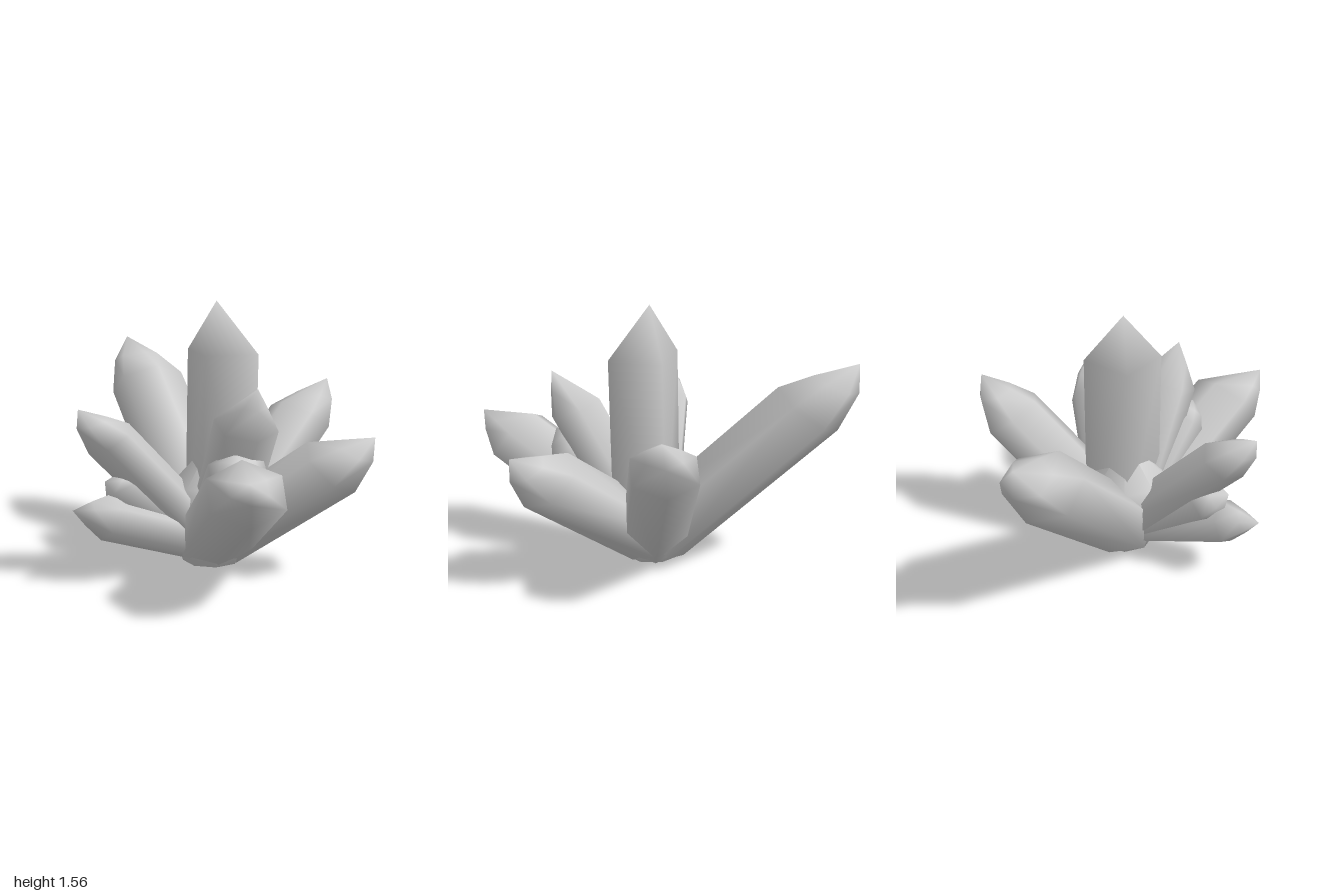
import * as THREE from 'three';
import { mergeVertices } from 'three/addons/utils/BufferGeometryUtils.js';
import { ConvexGeometry } from 'three/addons/geometries/ConvexGeometry.js';

const material = new THREE.MeshStandardMaterial({ color: 0xcccccc });
const origin = new THREE.Vector3(-0.015, 0.16, 0.08); // crystals fan out from here
const worldUp = new THREE.Vector3(0, 1, 0);

// Smooth-shaded convex body around a set of points
function softHull(points) {
  let geo = new ConvexGeometry(points);
  geo.deleteAttribute('normal');
  geo = mergeVertices(geo, 1e-4);
  geo.computeVertexNormals();
  return geo;
}

// A crystal grows from its root to a leaning shoulder ring, then narrows to its tip.
// width stretches it sideways, shear pushes the rings' underside forward,
// blunt is the size of the ring near the tip.
function crystal(name, shoulder, tip, radius, width, shear, blunt, sides = 6) {
  const end = new THREE.Vector3(...shoulder);
  const point = new THREE.Vector3(...tip);
  const outward = end.clone().sub(origin).setY(0).normalize();
  const root = origin.clone().addScaledVector(outward, 0.04);
  const axis = end.clone().sub(root).normalize();
  const up = worldUp.clone().projectOnPlane(axis).normalize();
  const side = new THREE.Vector3().crossVectors(axis, up);

  const ring = (centre, r, lean) => Array.from({ length: sides }, (_, i) => {
    const a = Math.PI / 2 + (i / sides) * Math.PI * 2;
    const p = centre.clone()
      .addScaledVector(side, r * width * Math.cos(a))
      .addScaledVector(up, r * Math.sin(a))
      .addScaledVector(axis, -lean * r * Math.sin(a));
    p.y = Math.max(p.y, 0.02);
    return p;
  });

  const mesh = new THREE.Mesh(softHull([
    ...ring(root, radius, 0),
    ...ring(end, radius, shear),
    ...ring(end.clone().lerp(point, 0.55), radius * blunt, shear * 2.5),
    point,
  ]), material);
  mesh.name = name;
  return mesh;
}

// Lump that fuses the roots and fills the valleys
function core() {
  const profile = [[0, 0], [0.17, 0.03], [0.26, 0.3], [0.24, 0.5], [0, 0.75]];
  const geo = new THREE.LatheGeometry(profile.map(([r, y]) => new THREE.Vector2(r, y)), 8);
  const mesh = new THREE.Mesh(geo, material);
  mesh.name = 'core';
  mesh.position.set(-0.03, 0, 0.08);
  return mesh;
}

export function createModel() {
  const group = new THREE.Group();
  group.name = 'crystalCluster';
  group.add(
    core(),
    crystal('centreCrystal', [-0.005, 1.27, 0.14], [-0.01, 1.56, 0.1], 0.225, 1, 0, 0.45, 4),
    crystal('backCrystal', [0.37, 0.97, -0.73], [0.48, 1.24, -0.99], 0.21, 1.12, 0.2, 0.6),
    crystal('leftCrystal', [0.67, 0.81, 0.25], [0.86, 1.03, 0.33], 0.18, 1.15, 0.2, 0.55),
    crystal('frontCrystal', [0.16, 0.65, 0.77], [0.26, 0.83, 0.99], 0.19, 1.15, 0.2, 0.55),
    crystal('frontRightCrystal', [-0.65, 0.66, 0.75], [-0.87, 0.78, 0.92], 0.19, 1.2, 0.15, 0.5),
    crystal('uprightCrystal', [-0.26, 0.92, 0.48], [-0.33, 1.14, 0.6], 0.16, 1.15, 0.1, 0.45),
    crystal('rightCrystal', [-0.6, 0.82, -0.21], [-0.77, 1, -0.28], 0.14, 1.1, 0.2, 0.6),
    crystal('lowRightCrystal', [-0.63, 0.38, -0.2], [-0.82, 0.44, -0.29], 0.14, 1, 0, 0.5),
    // short stubs filling the notch between neighbouring crystals
    crystal('rightWeb', [-0.5, 0.52, -0.18], [-0.64, 0.58, -0.21], 0.14, 0.9, 0, 0.6),
    crystal('frontWeb', [-0.34, 0.66, 0.49], [-0.43, 0.75, 0.56], 0.16, 1.15, 0, 0.6),
  );
  return group;
}
